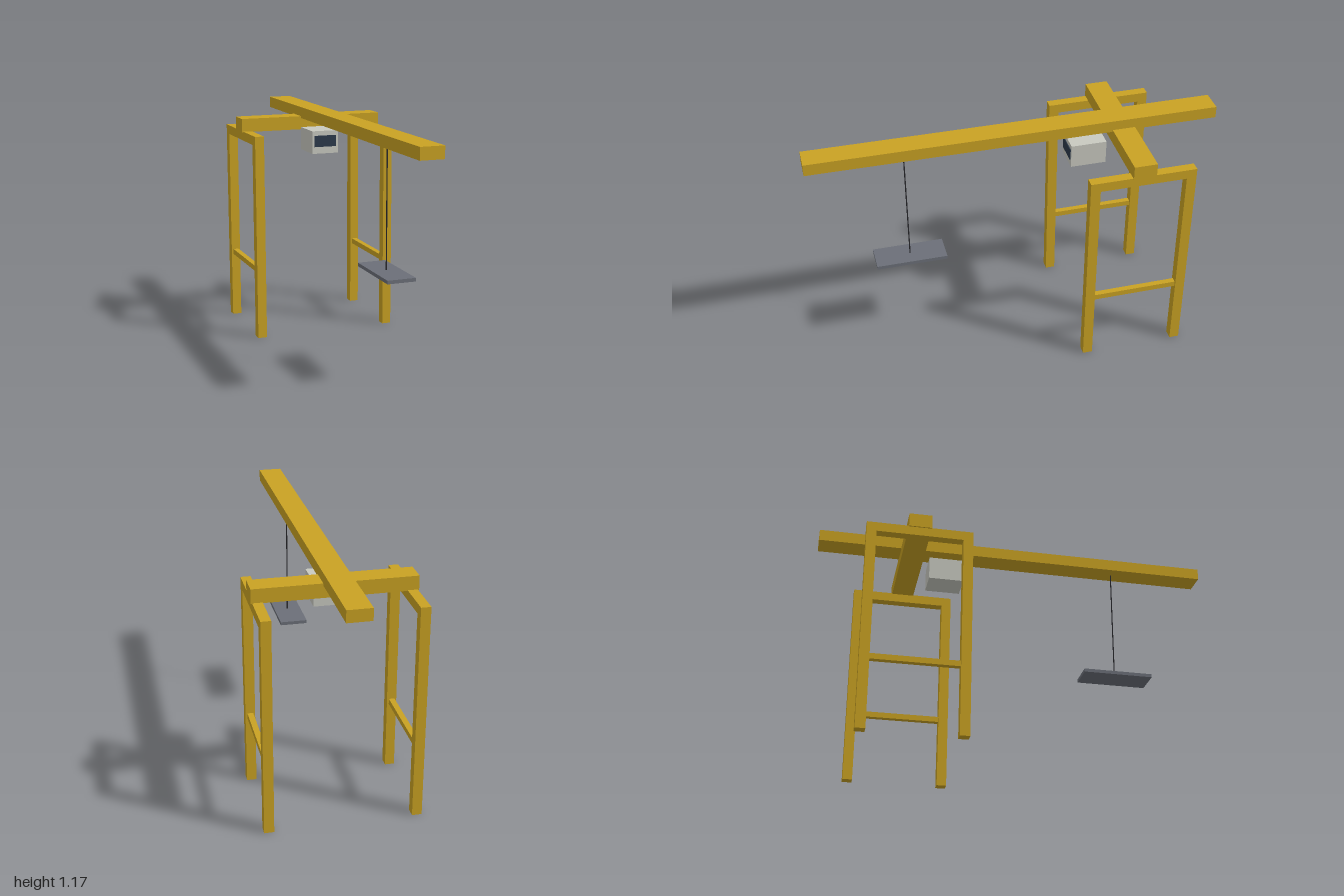
import * as THREE from 'three';

const material = (name, color) => {
  const m = new THREE.MeshStandardMaterial({ color });
  m.name = name;
  return m;
};

export function createModel() {
  const yellow = material('crane yellow', 0xc9a223);
  const cabinGrey = material('cabin light grey', 0xc8c9c0);
  const glass = material('dark glass', 0x2c3a4c);
  const steel = material('load steel', 0x6b6f78);
  const dark = material('cable dark', 0x2a2a2e);

  const model = new THREE.Group();
  model.name = 'gantryCrane';

  // Box given by its extents on each axis
  const box = (name, mat, [x0, x1], [y0, y1], [z0, z1], parent = model) => {
    const mesh = new THREE.Mesh(new THREE.BoxGeometry(x1 - x0, y1 - y0, z1 - z0), mat);
    mesh.position.set((x0 + x1) / 2, (y0 + y1) / 2, (z0 + z1) / 2);
    mesh.name = name;
    parent.add(mesh);
  };

  // Side frames: two legs, a top rail and a low brace
  for (const side of [-1, 1]) {
    const frame = new THREE.Group();
    frame.name = side > 0 ? 'leftFrame' : 'rightFrame';
    frame.position.x = side * 0.352;
    const w = [-0.0235, 0.0235];
    box('frontLeg', yellow, w, [0, 1.012], [-0.318, -0.27], frame);
    box('backLeg', yellow, w, [0, 1.012], [-0.788, -0.74], frame);
    box('topRail', yellow, w, [1.012, 1.059], [-0.788, -0.27], frame);
    box('brace', yellow, [-0.014, 0.014], [0.344, 0.372], [-0.742, -0.316], frame);
    model.add(frame);
  }

  // Beams
  box('crossBeam', yellow, [-0.382, 0.382], [1.056, 1.125], [-0.586, -0.474]);
  box('boom', yellow, [-0.058, 0.058], [1.115, 1.173], [-1, 1]);

  // Operator cabin with front window
  box('cabin', cabinGrey, [-0.07, 0.07], [0.955, 1.072], [-0.442, -0.267]);
  box('cabinWindow', glass, [-0.059, 0.059], [0.99, 1.048], [-0.268, -0.263]);

  // Cable and hanging load
  const cable = new THREE.Mesh(new THREE.CylinderGeometry(0.003, 0.003, 0.589, 8), dark);
  cable.name = 'cable';
  cable.position.set(0, 0.8225, 0.531);
  model.add(cable);
  box('hangingLoad', steel, [-0.07, 0.07], [0.511, 0.528], [0.356, 0.706]);

  return model;
}
